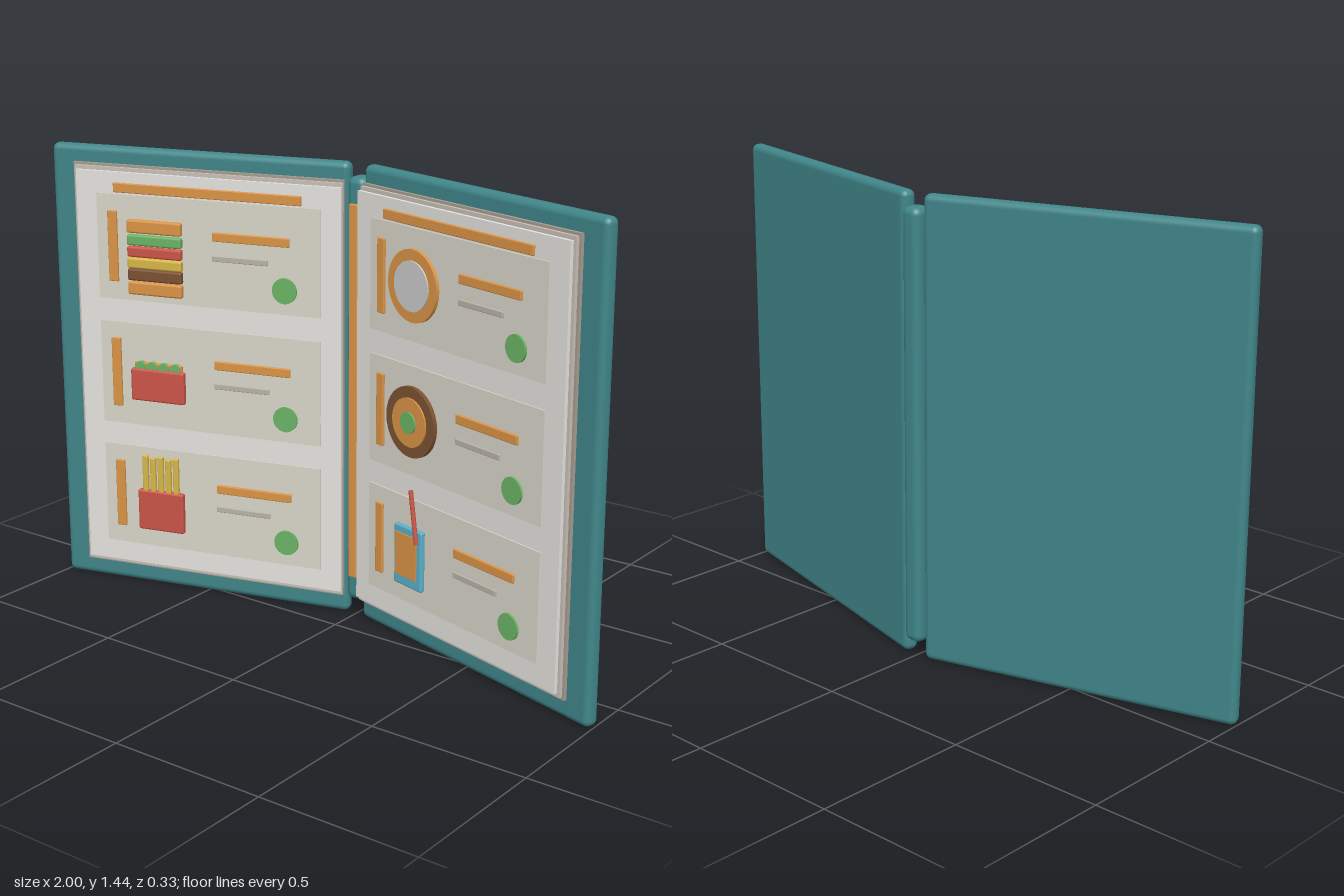
import * as THREE from 'three';
import { RoundedBoxGeometry } from 'three/addons/geometries/RoundedBoxGeometry.js';

const TILT = 0.27;      // angle of each opened cover
const PAGE = 0.055;     // front of the page stack, measured from the cover's middle
const CARD = 0.059;     // front of the cards
const C = {
  teal: 0x40868a, edge: 0xa89e92, paper: 0xc9c2b8, page: 0xe6e4e0, card: 0xdad6ca,
  orange: 0xdc9446, grey: 0xb9b5a8, green: 0x6cb466, red: 0xcc5548,
  yellow: 0xd9b848, brown: 0x7c5232, white: 0xeeeeee, blue: 0x5cb0cc,
};
const mats = {};
const mat = (c) => (mats[c] ??= new THREE.MeshStandardMaterial({ color: C[c] }));

function add(parent, name, geo, color, x, y, z) {
  const m = new THREE.Mesh(geo, mat(color));
  m.name = name;
  m.position.set(x, y, z);
  parent.add(m);
  return m;
}

// Flat block whose back lies at depth z
function block(parent, name, color, x, y, w, h, z, d) {
  return add(parent, name, new THREE.BoxGeometry(w, h, d), color, x, y, z + d / 2);
}

// Bar with softened edges
function bar(parent, name, color, x, y, w, h, z, d) {
  const r = Math.min(w, h, d) * 0.3;
  return add(parent, name, new RoundedBoxGeometry(w, h, d, 2, r), color, x, y, z + d / 2);
}

// Disc facing forward
function disc(parent, name, color, x, y, r, z, d) {
  const g = new THREE.CylinderGeometry(r, r, d, 32).rotateX(Math.PI / 2);
  return add(parent, name, g, color, x, y, z + d / 2);
}

function burger(g) {
  const layers = [
    ['topBun', 'orange', 0.073, 0.042], ['lettuce', 'green', 0.03, 0.034],
    ['tomato', 'red', -0.007, 0.034], ['cheese', 'yellow', -0.043, 0.034],
    ['patty', 'brown', -0.08, 0.038], ['bottomBun', 'orange', -0.123, 0.042],
  ];
  for (const [name, color, y, h] of layers) bar(g, name, color, 0, y, 0.185, h, 0, 0.022);
}

function snackTray(g) {
  bar(g, 'tray', 'red', 0, -0.028, 0.185, 0.105, 0, 0.022);
  bar(g, 'filling', 'orange', 0, 0.03, 0.165, 0.03, 0, 0.012);
  for (let i = 0; i < 4; i++) disc(g, 'garnish', 'green', -0.06 + i * 0.04, 0.03, 0.018, 0, 0.016);
}

function fries(g) {
  bar(g, 'friesBox', 'red', 0, -0.04, 0.16, 0.135, 0, 0.022);
  for (let i = 0; i < 5; i++)
    bar(g, 'fry', 'yellow', -0.054 + i * 0.027, 0.07 - (i % 2) * 0.006, 0.019, 0.15, 0.004, 0.015);
}

function plate(g) {
  disc(g, 'plateRim', 'orange', 0, 0, 0.108, 0, 0.012);
  disc(g, 'plateCentre', 'white', 0, 0, 0.075, 0, 0.017);
}

function bowl(g) {
  disc(g, 'bowl', 'brown', 0, 0, 0.108, 0, 0.014);
  disc(g, 'soup', 'orange', 0, 0, 0.075, 0, 0.019);
  disc(g, 'herbs', 'green', 0, 0, 0.033, 0, 0.024);
}

function drink(g) {
  bar(g, 'glass', 'blue', 0, -0.015, 0.125, 0.19, 0, 0.018);
  block(g, 'juice', 'orange', -0.004, -0.01, 0.095, 0.135, 0.01, 0.012);
  const straw = new THREE.CylinderGeometry(0.007, 0.007, 0.165, 12);
  add(g, 'straw', straw, 'red', 0.032, 0.123, 0.022).rotation.z = 0.17;
}

// One menu entry: card, side bar, picture, text bars and round button
function entry(parent, x, y, picture) {
  const g = new THREE.Group();
  g.name = 'menuEntry';
  g.position.set(x, y, 0);
  block(g, 'card', 'card', 0, 0, 0.75, 0.335, PAGE - 0.002, CARD - PAGE + 0.002);
  bar(g, 'sideBar', 'orange', -0.32, 0.003, 0.032, 0.225, CARD - 0.002, 0.01);
  bar(g, 'titleBar', 'orange', 0.15, 0.058, 0.255, 0.028, CARD - 0.002, 0.01);
  bar(g, 'textBar', 'grey', 0.113, -0.01, 0.185, 0.018, CARD - 0.002, 0.008);
  disc(g, 'button', 'green', 0.26, -0.092, 0.04, CARD - 0.002, 0.009);
  const icon = new THREE.Group();
  icon.name = 'foodPicture';
  icon.position.set(-0.172, 0, CARD - 0.001);
  picture(icon);
  g.add(icon);
  parent.add(g);
}

// One half of the folder; side is +1 or -1
function half(side, pictures) {
  const g = new THREE.Group();
  g.name = side > 0 ? 'leftHalf' : 'rightHalf';
  g.position.set(side * 0.515, 0, 0.007);
  g.rotation.y = -side * TILT;
  add(g, 'cover', new RoundedBoxGeometry(1.002, 1.44, 0.048, 4, 0.02), 'teal', 0, 0.72, 0);

  // Stepped stack of pages
  const sheets = [
    ['edge', 0.418, 0.06, 0.020, 0.014], ['paper', 0.41, 0.068, 0.034, 0.01],
    ['page', 0.4, 0.08, 0.044, PAGE - 0.044],
  ];
  for (const [color, outer, inset, z, d] of sheets) {
    const w = outer + 0.488;
    block(g, 'pageSheet', color, side * (outer - w / 2), 0.724, w, 2 * (0.724 - inset), z, d);
  }

  const x = -side * 0.046;
  bar(g, 'headerBar', 'orange', x, 1.32, 0.63, 0.03, PAGE - 0.002, 0.01);
  pictures.forEach((p, i) => entry(g, x, 1.132 - i * 0.409, p));
  return g;
}

export function createModel() {
  const model = new THREE.Group();
  model.name = 'openMenu';
  model.add(half(-1, [burger, snackTray, fries]), half(1, [plate, bowl, drink]));

  // Spine and the cord in its fold
  add(model, 'spine', new RoundedBoxGeometry(0.066, 1.35, 0.07, 4, 0.024), 'teal', 0, 0.725, -0.132);
  bar(model, 'spineStrip', 'orange', 0, 0.725, 0.032, 1.19, -0.1, 0.012);
  return model;
}
